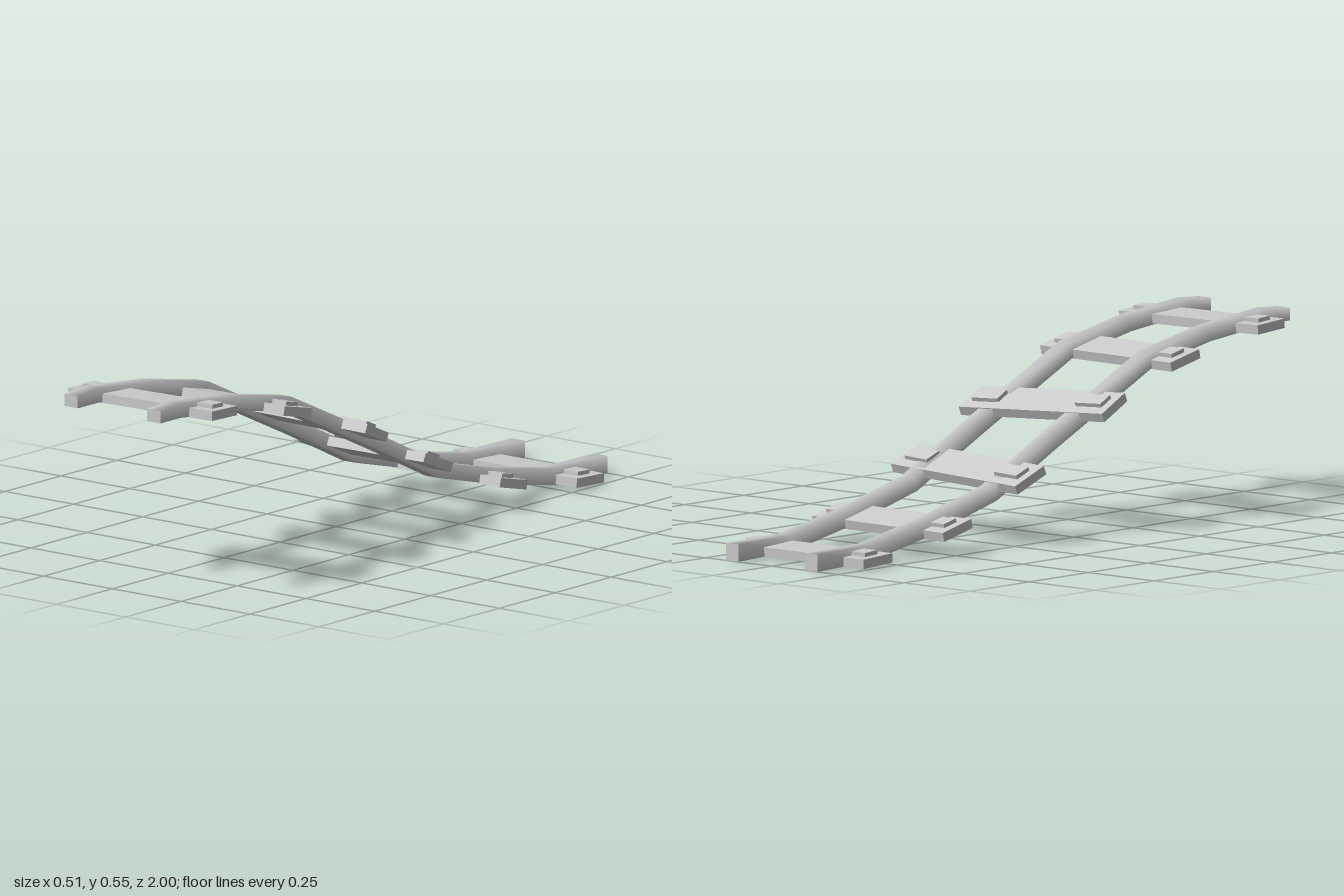
import * as THREE from 'three';

const material = new THREE.MeshStandardMaterial({ color: 0xcccccc });

// Rail centre line: z, y, rail height
const PATH = [
  [1, 0.523, 0.036], [0.91, 0.526, 0.042], [0.66, 0.502, 0.042],
  [0.42, 0.457, 0.042], [0, 0.264, 0.043], [-0.25, 0.143, 0.042],
  [-0.52, 0.077, 0.045], [-0.77, 0.031, 0.046], [-1, 0.026, 0.05],
];
const HALF_WIDTH = 0.024;

// Sleepers: z, y, slope along the track, skew in plan
const SLEEPERS = [
  [0.82, 0.511, 0.05, 0.06], [0.475, 0.455, 0.22, -0.015],
  [0.148, 0.341, 0.42, 0.11], [-0.167, 0.189, 0.42, -0.07],
  [-0.49, 0.073, 0.23, -0.01], [-0.83, 0.021, 0.05, 0],
];

// Sweeps rows of cross-section points into a strip with smooth normals
function strip(rows) {
  const n = rows[0].length;
  const index = [];
  for (let i = 0; i < rows.length - 1; i++) {
    for (let j = 0; j < n - 1; j++) {
      const a = i * n + j, b = a + n;
      index.push(a, a + 1, b, a + 1, b + 1, b);
    }
  }
  const geometry = new THREE.BufferGeometry();
  geometry.setAttribute('position', new THREE.Float32BufferAttribute(rows.flat(2), 3));
  geometry.setIndex(index);
  geometry.computeVertexNormals();
  return new THREE.Mesh(geometry, material);
}

function makeRail() {
  // Corners of each section: bottom right, top right, top left, bottom left
  const sections = PATH.map(([z, y, h], i) => {
    const last = PATH.length - 1;
    const p = PATH[Math.max(i - 1, 0)], q = PATH[Math.min(i + 1, last)];
    const tilt = i === 0 || i === last ? 0 : Math.atan2(p[1] - q[1], p[0] - q[0]);
    const dy = Math.cos(tilt) * h / 2, dz = -Math.sin(tilt) * h / 2;
    return [[1, -1], [1, 1], [-1, 1], [-1, -1]].map(
      ([sx, sy]) => [sx * HALF_WIDTH, y + sy * dy, z + sy * dz]);
  });
  const rail = new THREE.Group();
  const add = (name, rows) => {
    const mesh = strip(rows);
    mesh.name = name;
    rail.add(mesh);
  };
  // Rounded shading over top and sides, crisp underside and ends
  add('railTopAndSides', sections.map(s => [...s].reverse()).reverse());
  add('railUnderside', sections.map(s => [s[3], s[0]]));
  const f = sections[0], b = sections[sections.length - 1];
  add('railFrontEnd', [[f[2], f[3]], [f[1], f[0]]]);
  add('railBackEnd', [[b[1], b[0]], [b[2], b[3]]]);
  // Orient every face outwards from the rail's core
  rail.children.forEach(mesh => orient(mesh, rail));
  return rail;
}

// Flips a strip whose first triangle faces the wrong way
function orient(mesh) {
  const dir = {
    railTopAndSides: [-1, 0, 0], railUnderside: [0, -1, 0],
    railFrontEnd: [0, 0, 1], railBackEnd: [0, 0, -1],
  }[mesh.name];
  const g = mesh.geometry, pos = g.attributes.position, idx = g.index;
  const v = [0, 1, 2].map(k => new THREE.Vector3().fromBufferAttribute(pos, idx.getX(k)));
  const normal = new THREE.Triangle(...v).getNormal(new THREE.Vector3());
  if (normal.dot(new THREE.Vector3(...dir)) < 0) {
    g.setIndex(Array.from(idx.array).reverse());
    g.computeVertexNormals();
  }
}

function box(name, w, h, d, x, y) {
  const mesh = new THREE.Mesh(new THREE.BoxGeometry(w, h, d), material);
  mesh.name = name;
  mesh.position.set(x, y, 0);
  return mesh;
}

export function createModel() {
  const track = new THREE.Group();
  track.name = 'railTrack';

  for (const side of [1, -1]) {
    const rail = makeRail();
    rail.name = side > 0 ? 'leftRail' : 'rightRail';
    rail.position.x = side * 0.15;
    track.add(rail);
  }

  // Skewed sleepers laid along the slope, with a fixing plate under each rail
  SLEEPERS.forEach(([z, y, slope, skew], i) => {
    const sleeper = new THREE.Group();
    sleeper.name = `sleeper${i + 1}`;
    sleeper.add(box('plank', 0.5, 0.027, 0.122, 0, 0));
    for (const side of [1, -1]) {
      sleeper.add(box(side > 0 ? 'leftPlate' : 'rightPlate', 0.09, 0.014, 0.052, side * 0.18, 0.018));
    }
    sleeper.position.set(0, y, z);
    sleeper.rotation.set(-Math.atan(slope), skew, 0);
    track.add(sleeper);
  });

  return track;
}
